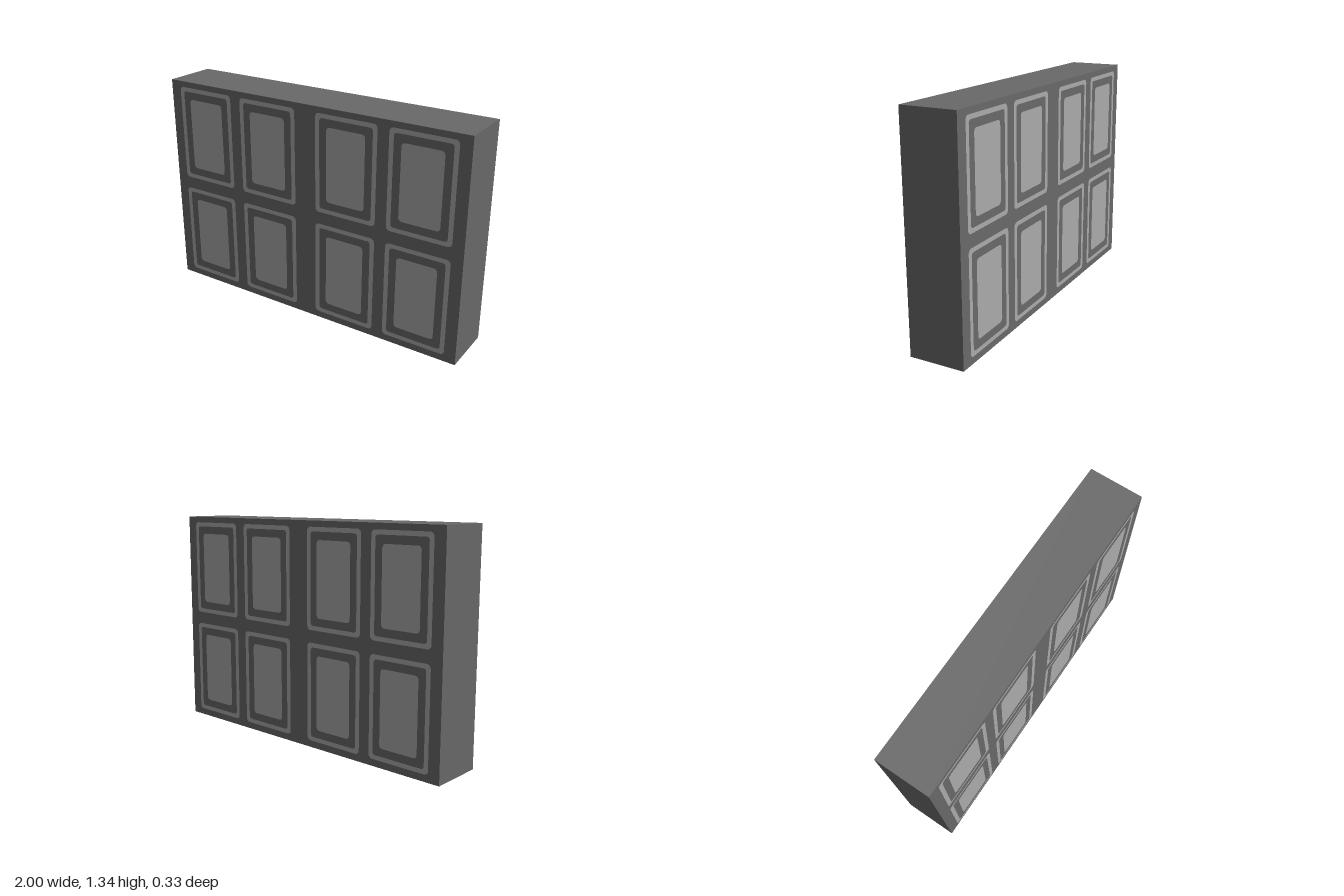
import * as THREE from 'three';

const W = 2, H = 1.335, D = 0.33, LIFT = 0.0015;

// Rounded rectangle outline centred on (cx, cy)
function roundedRect(w, h, r, cx = 0, cy = 0, Type = THREE.Shape) {
  const s = new Type(), x = w / 2 - r, y = h / 2 - r;
  s.absarc(cx + x, cy + y, r, 0, Math.PI / 2);
  s.absarc(cx - x, cy + y, r, Math.PI / 2, Math.PI);
  s.absarc(cx - x, cy - y, r, Math.PI, Math.PI * 1.5);
  s.absarc(cx + x, cy - y, r, Math.PI * 1.5, Math.PI * 2);
  s.closePath();
  return s;
}

export function createModel() {
  const group = new THREE.Group();
  const darkGrey = new THREE.MeshStandardMaterial({ color: 0x696969 });
  darkGrey.name = 'darkGrey';
  const lightGrey = new THREE.MeshStandardMaterial({ color: 0xababab });
  lightGrey.name = 'lightGrey';

  // Solid slab
  const body = new THREE.Mesh(new THREE.BoxGeometry(W, H, D), darkGrey);
  body.name = 'body';
  body.position.y = H / 2;
  group.add(body);

  // Painted panel: a thin frame around a filled pane
  const frameShape = roundedRect(0.395, 0.592, 0.025);
  frameShape.holes.push(roundedRect(0.34, 0.54, 0.018, 0, 0, THREE.Path));
  const frameGeometry = new THREE.ShapeGeometry(frameShape, 4);
  const paneGeometry = new THREE.ShapeGeometry(roundedRect(0.248, 0.447, 0.022), 4);

  // Two rows of four panels, the same on both large faces
  for (const [name, turn] of [['frontPanels', 0], ['backPanels', Math.PI]]) {
    const face = new THREE.Group();
    face.name = name;
    face.rotation.y = turn;
    for (const x of [-0.733, -0.268, 0.268, 0.733]) {
      for (const y of [0.337, 1.004]) {
        const frame = new THREE.Mesh(frameGeometry, lightGrey);
        frame.name = 'panelFrame';
        const pane = new THREE.Mesh(paneGeometry, lightGrey);
        pane.name = 'panelPane';
        for (const part of [frame, pane]) {
          part.position.set(x, y, D / 2 + LIFT);
          face.add(part);
        }
      }
    }
    group.add(face);
  }

  // Underside markings: a short bar stepping out to a limb, repeated by a half turn
  const marking = new THREE.Shape([
    [0.08, -0.025], [0.2, -0.045], [0.26, -0.105], [0.43, -0.105], [0.43, -0.085],
    [0.3, -0.08], [0.27, -0.03], [0.31, 0], [0.29, 0.02], [0.09, 0.02], [0.07, 0],
  ].map(([x, z]) => new THREE.Vector2(x, z)));
  const strip = roundedRect(0.22, 0.02, 0.009, 0.32, 0.1);
  const markingGeometry = new THREE.ShapeGeometry([marking, strip], 4);
  markingGeometry.rotateX(Math.PI / 2);
  for (const turn of [0, Math.PI]) {
    const mark = new THREE.Mesh(markingGeometry, lightGrey);
    mark.name = 'undersideMarking';
    mark.position.y = -LIFT / 2;
    mark.rotation.y = turn;
    group.add(mark);
  }
  return group;
}
